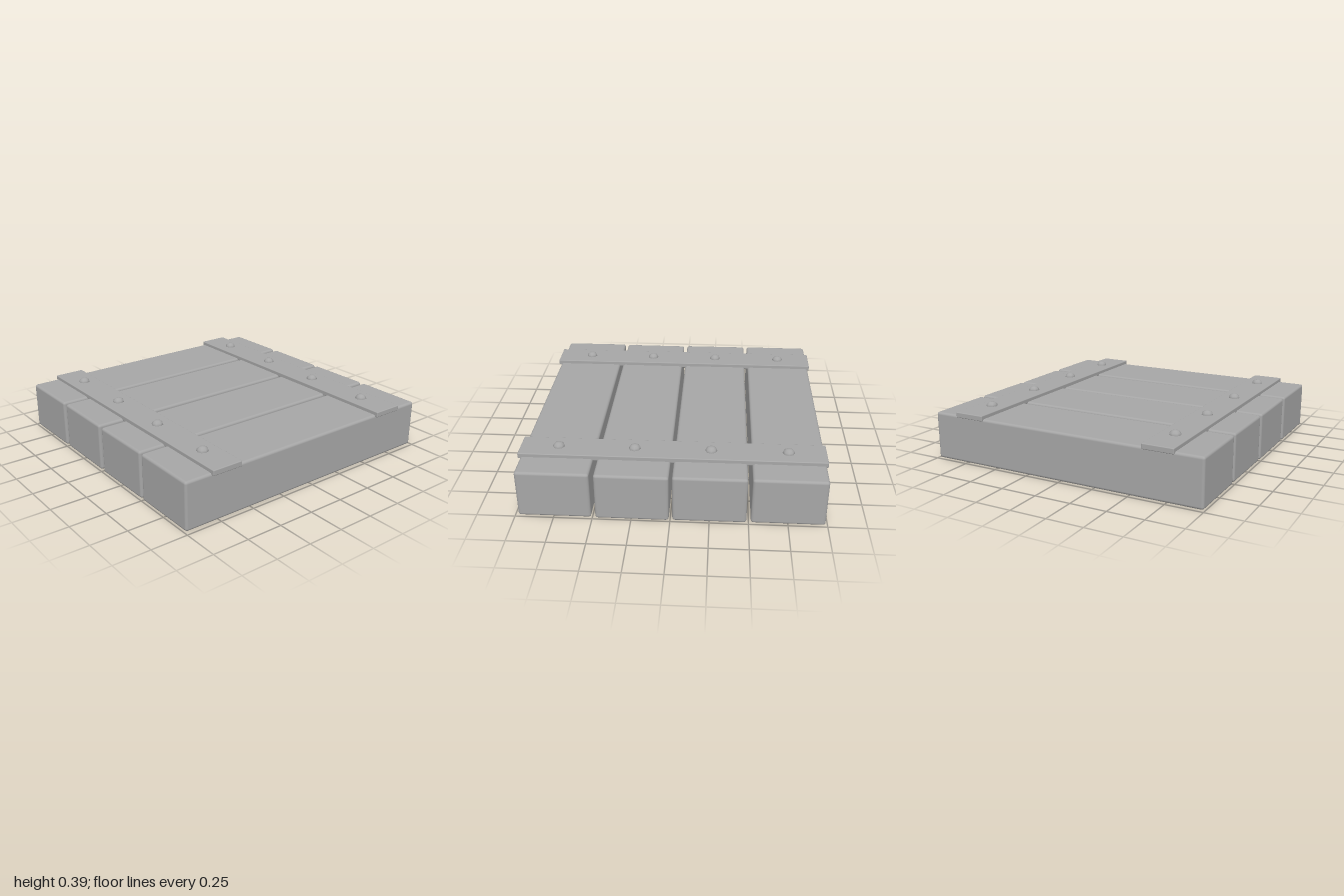
import * as THREE from 'three';
import { RoundedBoxGeometry } from 'three/addons/geometries/RoundedBoxGeometry.js';

export function createModel() {
  const model = new THREE.Group();
  model.name = 'plankPanel';
  const grey = new THREE.MeshStandardMaterial({ color: 0xa6a6a6 });
  grey.name = 'plain grey';

  const add = (name, geometry, x, y, z) => {
    const mesh = new THREE.Mesh(geometry, grey);
    mesh.name = name;
    mesh.position.set(x, y, z);
    model.add(mesh);
    return mesh;
  };

  // Four thick planks, slightly uneven in how they sit
  const plankGeo = new RoundedBoxGeometry(0.473, 0.328, 1.985, 2, 0.018);
  const planks = [[-0.75, 0.174, 0.001], [-0.251, 0.174, -0.002], [0.246, 0.172, -0.003], [0.743, 0.174, 0]];
  const tilts = [0.001, -0.001, 0.002, -0.001];
  planks.forEach(([x, y, z], i) => {
    add('plank' + (i + 1), plankGeo, x, y, z).rotation.set(0, tilts[i], tilts[i] * 2);
  });

  // Rivet: low dome with eight sides
  const rivetGeo = new THREE.SphereGeometry(0.04, 8, 3, 0, Math.PI * 2, 0, Math.PI / 2);
  rivetGeo.scale(1, 0.8, 1);

  // Two cross straps, each with one rivet per plank
  const strapGeo = new RoundedBoxGeometry(1.994, 0.038, 0.215, 2, 0.006);
  for (const [side, z] of [['front', 0.698], ['back', -0.7]]) {
    add(side + 'Strap', strapGeo, 0, 0.344, z);
    [-0.75, -0.251, 0.246, 0.744].forEach((x, i) => {
      add(side + 'Rivet' + (i + 1), rivetGeo, x, 0.361, z);
    });
  }
  return model;
}
